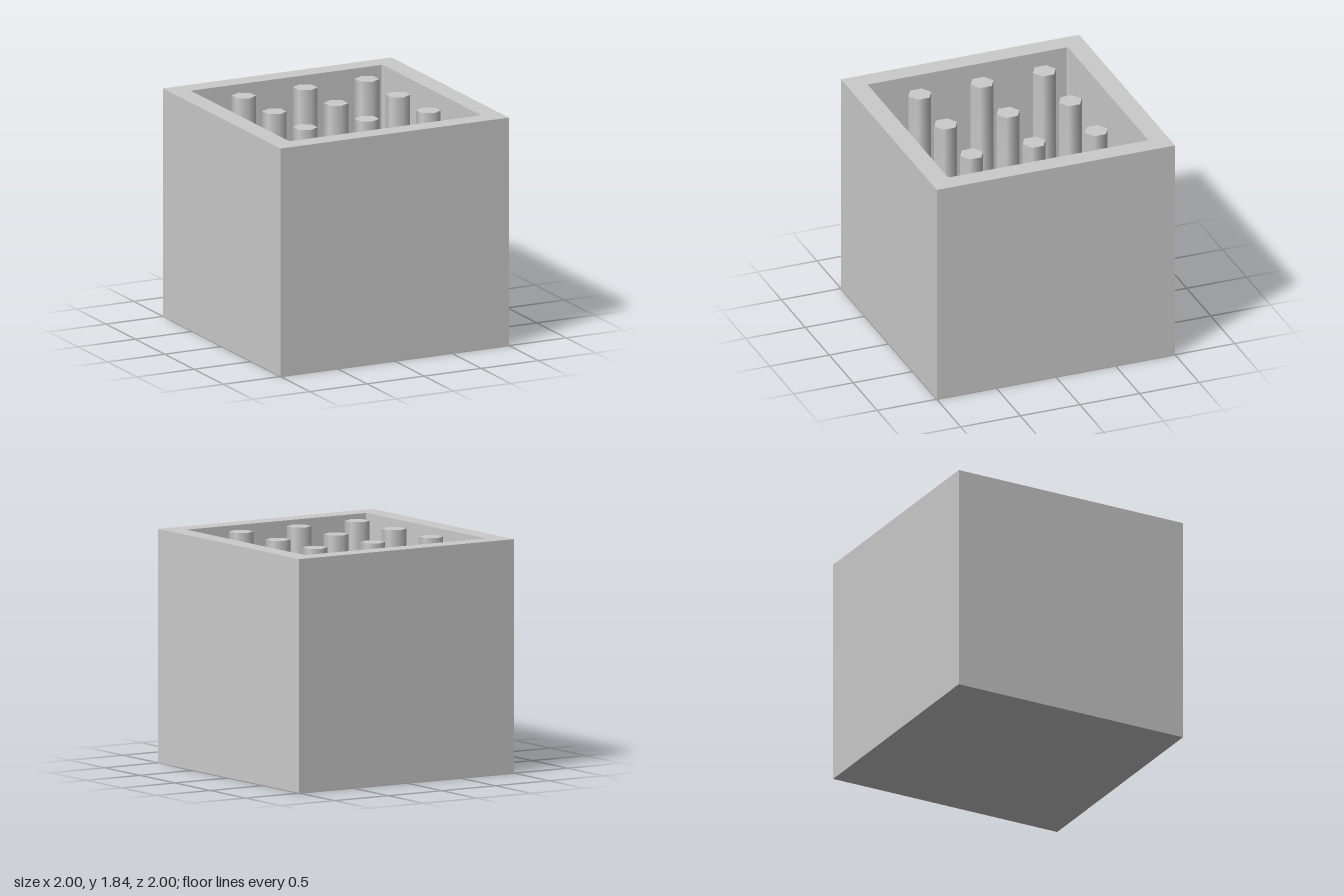
import * as THREE from 'three';

const HEIGHT = 1.84, FLOOR = 0.16, INNER = 0.84, CORNER = 0.015;

// Square outline, with optionally rounded corners
function square(path, h, r) {
  path.moveTo(-h + r, -h);
  path.lineTo(h - r, -h);
  if (r) path.absarc(h - r, -h + r, r, -Math.PI / 2, 0);
  path.lineTo(h, h - r);
  if (r) path.absarc(h - r, h - r, r, 0, Math.PI / 2);
  path.lineTo(-h + r, h);
  if (r) path.absarc(-h + r, h - r, r, Math.PI / 2, Math.PI);
  path.lineTo(-h, -h + r);
  if (r) path.absarc(-h + r, -h + r, r, Math.PI, Math.PI * 1.5);
  return path;
}

export function createModel() {
  const model = new THREE.Group();
  model.name = 'boxWithPosts';
  const material = new THREE.MeshStandardMaterial({ color: 0xcccccc });
  const add = (parent, name, geometry) => {
    const mesh = new THREE.Mesh(geometry, material);
    mesh.name = name;
    parent.add(mesh);
    return mesh;
  };

  // Outer walls: a square tube with a slightly rounded well
  const outline = square(new THREE.Shape(), 1, 0);
  outline.holes.push(square(new THREE.Path(), INNER, CORNER));
  const walls = new THREE.ExtrudeGeometry(outline, { depth: HEIGHT, bevelEnabled: false, curveSegments: 4 });
  add(model, 'walls', walls.rotateX(-Math.PI / 2));

  // Floor closing the well
  const floor = new THREE.ExtrudeGeometry(square(new THREE.Shape(), INNER, CORNER),
    { depth: FLOOR, bevelEnabled: false, curveSegments: 4 });
  add(model, 'floor', floor.rotateX(-Math.PI / 2));

  // Hexagonal posts with flared feet, smooth around the sides
  const profile = [[0.235, FLOOR], [0.096, 0.6], [0.096, HEIGHT]]
    .map(([r, y]) => new THREE.Vector2(r, y));
  const shaft = new THREE.LatheGeometry(profile, 6);
  const cap = new THREE.CircleGeometry(0.096, 6, Math.PI / 2).rotateX(-Math.PI / 2);
  for (let row = -1; row <= 1; row++) {
    for (let col = -1; col <= 1; col++) {
      const post = new THREE.Group();
      post.name = 'post';
      add(post, 'postShaft', shaft);
      add(post, 'postCap', cap).position.y = HEIGHT;
      post.position.set(col * 0.54, 0, row * 0.523);
      model.add(post);
    }
  }
  return model;
}
